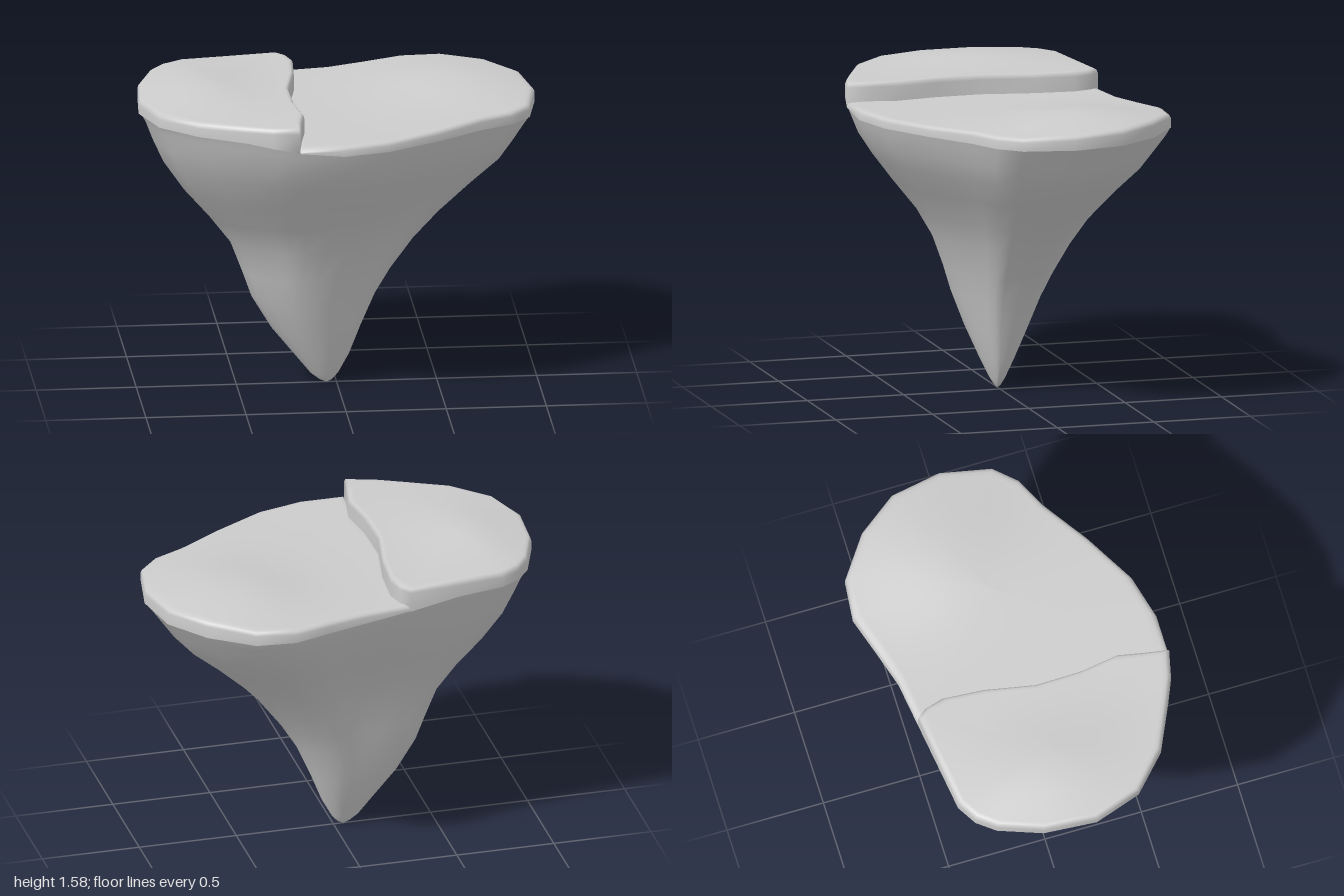
import * as THREE from 'three';

// plan outline [x, z], counter-clockwise seen from above, starting at the front end of the step
const OUTLINE = [
  [-0.25, 0.72], [-0.03, 0.72], [0.2, 0.66], [0.46, 0.51], [0.69, 0.35], [0.85, 0.27], [0.95, 0.16],
  [1, -0.1], [0.95, -0.36], [0.8, -0.56], [0.59, -0.71], [0.39, -0.73], [0.2, -0.67], [0, -0.61],
  [-0.24, -0.58], [-0.5, -0.55], [-0.73, -0.52], [-0.83, -0.46], [-0.9, -0.37], [-0.98, -0.15],
  [-1, 0.12], [-0.92, 0.36], [-0.74, 0.53], [-0.5, 0.64], [-0.38, 0.69],
];
const STEP_BACK = 14; // outline index at the back end of the step

// wavy step between the two ground levels, front to back, without its end points
const STEP = [
  [-0.23, 0.6], [-0.205, 0.47], [-0.235, 0.27], [-0.24, 0.03], [-0.19, -0.23], [-0.175, -0.44], [-0.2, -0.53],
];

// rock levels: y, left x, right x, front z, back z
const LEVELS = [
  [0, -0.052, -0.048, 0.002, -0.002], [0.015, -0.085, -0.02, 0.015, -0.015], [0.05, -0.13, 0.01, 0.035, -0.035],
  [0.15, -0.21, 0.065, 0.08, -0.08], [0.3, -0.33, 0.125, 0.14, -0.145], [0.47, -0.43, 0.2, 0.2, -0.205],
  [0.6, -0.475, 0.28, 0.24, -0.25], [0.76, -0.535, 0.4, 0.3, -0.31], [0.9, -0.64, 0.53, 0.38, -0.38],
  [1.05, -0.77, 0.69, 0.5, -0.49], [1.18, -0.875, 0.84, 0.605, -0.595], [1.28, -0.93, 0.91, 0.675, -0.66],
  [1.36, -0.965, 0.965, 0.71, -0.71], [1.4, -0.99, 0.995, 0.725, -0.728],
];

const smooth = THREE.MathUtils.smoothstep;
const bump = (x, z, cx, cz, sx, sz) => Math.exp(-(((x - cx) / sx) ** 2) - ((z - cz) / sz) ** 2);
const rimY = (x) => 1.4 + 0.066 * smooth(-x, 0, 0.65);
const lowTop = (x, z) => 1.45 + 0.07 * bump(x, z, 0.62, -0.25, 0.36, 0.42);
const highTop = (x, z) => 1.52 + 0.035 * (x + 1) + 0.05 * bump(x, z, -0.7, -0.05, 0.26, 0.4);

// smooth skin over closed rings of equal length
function loft(name, rings) {
  const n = rings[0].length;
  const index = [];
  for (let r = 0; r < rings.length - 1; r++) {
    for (let i = 0; i < n; i++) {
      const a = r * n + i, b = r * n + ((i + 1) % n);
      index.push(a, b, b + n, a, b + n, a + n);
    }
  }
  const geometry = new THREE.BufferGeometry();
  geometry.setAttribute('position', new THREE.Float32BufferAttribute(rings.flat(2), 3));
  geometry.setIndex(index);
  geometry.computeVertexNormals();
  const material = new THREE.MeshStandardMaterial({ color: 0xcccccc, side: THREE.DoubleSide });
  const mesh = new THREE.Mesh(geometry, material);
  mesh.name = name;
  return mesh;
}

// ground slab: side wall, rounded edge, then rings shrinking to the centre
function slab(name, plan, centre, topY, edge) {
  const ring = (scale, height) => plan.map(([px, pz]) => {
    const x = centre[0] + (px - centre[0]) * scale;
    const z = centre[1] + (pz - centre[1]) * scale;
    return [x, height(x, z), z];
  });
  const profile = [[1, edge], [0.988, edge * 0.3], [0.965, 0], [0.93, 0], [0.8, 0], [0.6, 0], [0.4, 0], [0.2, 0], [0.002, 0]];
  return loft(name, [
    ring(1, rimY),
    ...profile.map(([s, drop]) => ring(s, (x, z) => topY(x, z) - drop)),
  ]);
}

export function createModel() {
  const group = new THREE.Group();
  group.name = 'floatingIsland';

  // tapering rock: the outline fitted to each level, turning oval toward the tip
  const rock = LEVELS.map(([y, left, right, front, back]) => {
    const oval = 0.7 * (1 - smooth(y, 0.1, 0.9));
    return OUTLINE.map(([px, pz]) => {
      const u = px, v = pz / 0.73;
      const a = Math.atan2(v, u);
      const x = (left + right) / 2 + (right - left) / 2 * THREE.MathUtils.lerp(u, Math.cos(a), oval);
      const z = (front + back) / 2 + (front - back) / 2 * THREE.MathUtils.lerp(v, Math.sin(a), oval);
      return [x, y + (rimY(px) - 1.4) * smooth(y, 1, 1.4), z];
    });
  });
  group.add(loft('rock', rock));

  // lower ground, tucked slightly under the step
  const tucked = [...STEP].reverse().map(([x, z]) => [x - 0.03, z]);
  const lowPlan = [...OUTLINE.slice(0, STEP_BACK + 1), ...tucked];
  group.add(slab('lowerGround', lowPlan, [0.35, -0.05], lowTop, 0.02));

  // raised ground with the step as its wall
  const highPlan = [...OUTLINE.slice(STEP_BACK), OUTLINE[0], ...STEP];
  group.add(slab('raisedGround', highPlan, [-0.6, 0], highTop, 0.025));

  return group;
}
